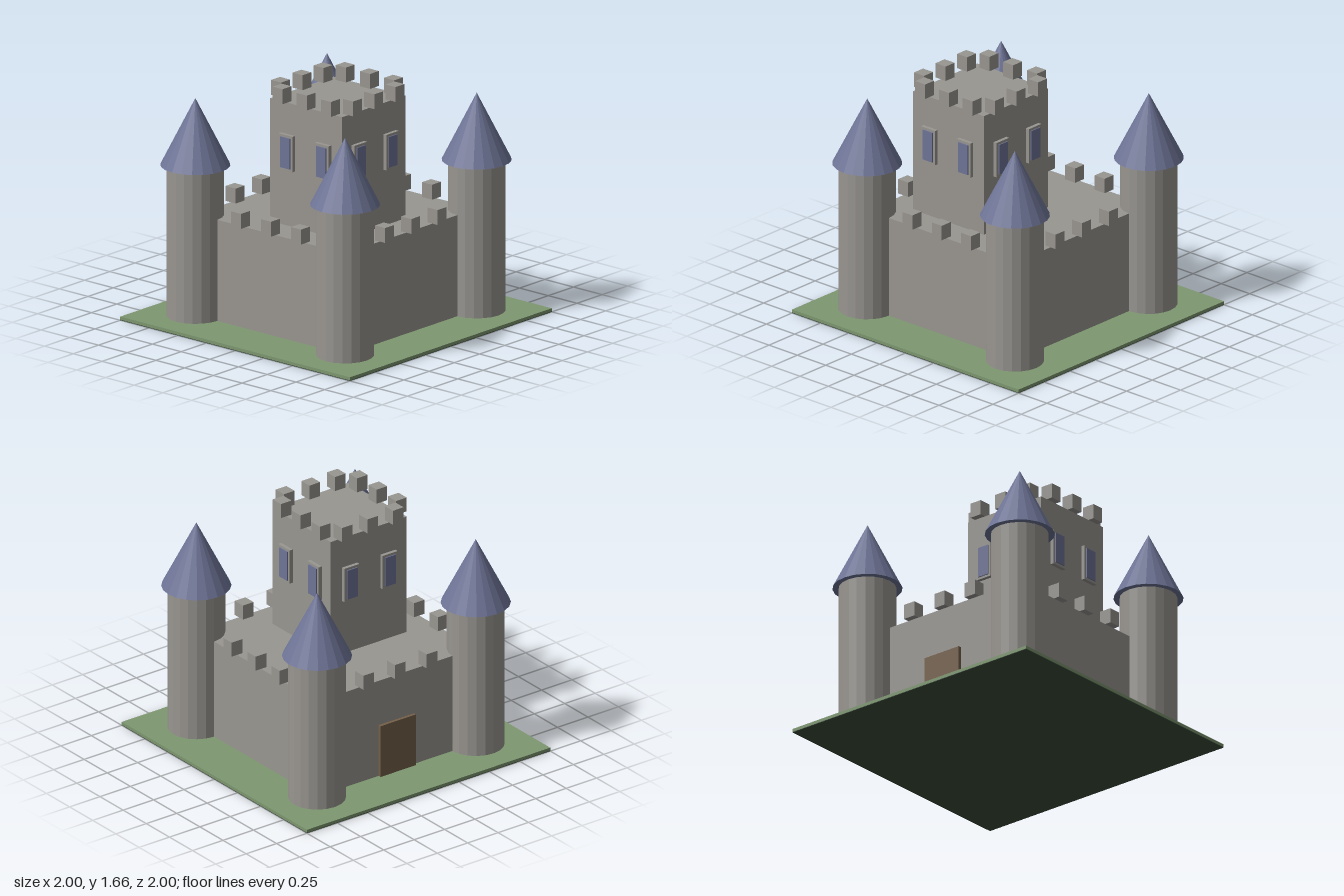
import * as THREE from 'three';

const mat = (name, color) => {
  const m = new THREE.MeshStandardMaterial({ color, flatShading: true });
  m.name = name;
  return m;
};

export function createModel() {
  const stone = mat('stone', 0x999691);
  const slate = mat('slateBlue', 0x6e7496);
  const grass = mat('grass', 0x7d9770);
  const earth = mat('darkEarth', 0x3a4b3a);
  const wood = mat('wood', 0x75604a);

  const castle = new THREE.Group();
  castle.name = 'castle';

  const add = (parent, name, geometry, material, x, y, z) => {
    const mesh = new THREE.Mesh(geometry, material);
    mesh.name = name;
    mesh.position.set(x, y, z);
    parent.add(mesh);
    return mesh;
  };
  // Box resting on height y
  const box = (parent, name, material, w, h, d, x, y, z) =>
    add(parent, name, new THREE.BoxGeometry(w, h, d), material, x, y + h / 2, z);

  // Calls build(side) for four groups turned a quarter each about the vertical
  const fourSides = (parent, name, build) => {
    for (let i = 0; i < 4; i++) {
      const side = new THREE.Group();
      side.name = name;
      side.rotation.y = (i * Math.PI) / 2;
      parent.add(side);
      build(side);
    }
  };

  // Merlons: three centred on each wall edge
  const merlons = (parent, half, spacing, y) =>
    fourSides(parent, 'battlement', (side) => {
      for (const k of [-1, 0, 1]) {
        box(side, 'merlon', stone, 0.088, 0.102, 0.088, k * spacing, y, half);
      }
    });

  // Lawn with a dark underside, and main block
  const wall = 0.65, base = 0.01, wallTop = 0.718;
  box(castle, 'underside', earth, 2, 0.004, 2, 0, 0, 0);
  box(castle, 'ground', grass, 2, 0.021, 2, 0, 0.004, 0);
  box(castle, 'mainWall', stone, wall * 2, wallTop - base, wall * 2, 0, base, 0);
  merlons(castle, wall, 0.26, wallTop);

  // Corner towers with cone roofs
  const towerTop = 1.057, roofHeight = 0.457, towerAt = 0.652;
  const shaft = new THREE.CylinderGeometry(0.19, 0.19, towerTop - base, 20);
  const roof = new THREE.ConeGeometry(0.23, roofHeight, 20);
  for (const x of [-towerAt, towerAt]) {
    for (const z of [-towerAt, towerAt]) {
      const tower = new THREE.Group();
      tower.name = 'cornerTower';
      tower.position.set(x, 0, z);
      castle.add(tower);
      add(tower, 'towerShaft', shaft, stone, 0, (towerTop + base) / 2, 0);
      add(tower, 'towerRoof', roof, slate, 0, towerTop + roofHeight / 2, 0);
    }
  }

  // Door on the back wall
  box(castle, 'door', wood, 0.29, 0.37, 0.036, 0, 0.025, -wall - 0.004);

  // Keep, set off centre on the roof
  const keepHalf = 0.313, keepTop = 1.56;
  const keep = new THREE.Group();
  keep.name = 'keep';
  keep.position.set(-0.127, 0, 0.127);
  castle.add(keep);
  box(keep, 'keepWall', stone, keepHalf * 2, keepTop - wallTop, keepHalf * 2, 0, wallTop, 0);
  merlons(keep, keepHalf, 0.21, keepTop);

  // Two framed windows on each side of the keep
  fourSides(keep, 'keepWindows', (side) => {
    for (const x of [-0.157, 0.157]) {
      box(side, 'windowFrame', stone, 0.123, 0.243, 0.036, x, 1.103, keepHalf + 0.008);
      box(side, 'windowPane', slate, 0.085, 0.21, 0.009, x, 1.119, keepHalf + 0.029);
    }
  });

  return castle;
}
